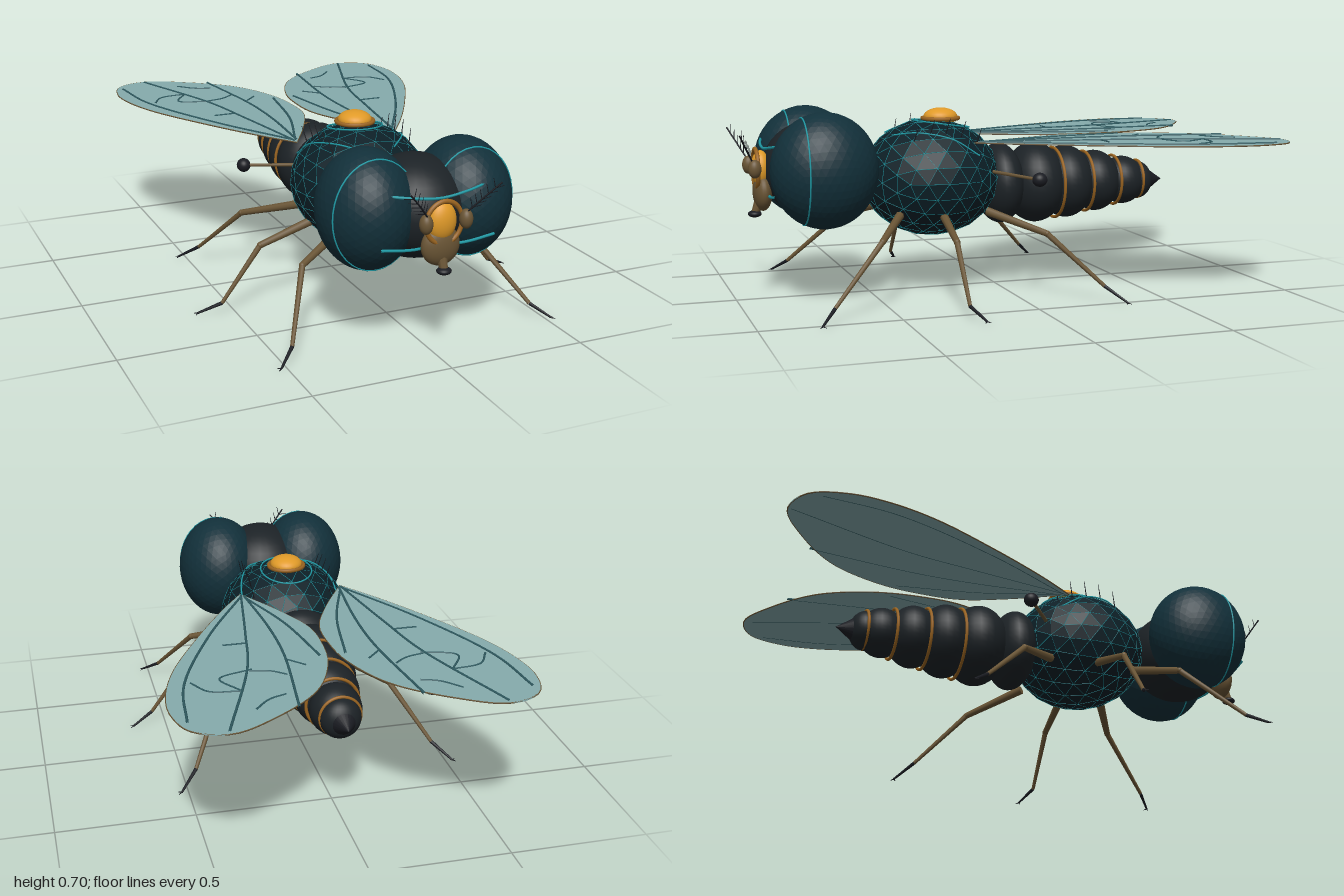
import * as THREE from 'three';

const mat = (color, extra = {}) => new THREE.MeshStandardMaterial({ color, ...extra });
const V = (p) => new THREE.Vector3(...p);

export function createModel() {
  const root = new THREE.Group();
  const M = {
    shell: mat(0x1c2226), eye: mat(0x12303a, { flatShading: true }), thorax: mat(0x0c1f26, { flatShading: true }),
    teal: mat(0x1f9aa5), gold: mat(0xe09a28), brown: mat(0x6a5535), band: mat(0x9a6420),
    dark: mat(0x1a1c22), wing: mat(0x86abad), vein: mat(0x2f5a60),
  };

  const add = (name, geo, material, pos = [0, 0, 0], parent = root) => {
    const m = new THREE.Mesh(geo, material);
    m.name = name;
    m.position.set(...pos);
    parent.add(m);
    return m;
  };
  const ball = (name, pos, r, material, parent = root) =>
    add(name, new THREE.SphereGeometry(1, 28, 20).scale(...r), material, pos, parent);
  const rod = (name, a, b, r0, r1, material, parent = root, sides = 8) => {
    const A = V(a), d = V(b).sub(A);
    const m = add(name, new THREE.CylinderGeometry(r1, r0, d.length(), sides), material, [0, 0, 0], parent);
    m.position.copy(A).addScaledVector(d, 0.5);
    m.quaternion.setFromUnitVectors(new THREE.Vector3(0, 1, 0), d.normalize());
    return m;
  };
  const tube = (name, pts, r, material, parent = root, closed = false) =>
    add(name, new THREE.TubeGeometry(new THREE.CatmullRomCurve3(pts.map(V), closed), 36, r, 6, closed), material, [0, 0, 0], parent);
  // closed loop around an ellipse; f maps angle to a point
  const loop = (name, f, r, material, parent = root) =>
    tube(name, Array.from({ length: 20 }, (_, i) => f(i / 20 * Math.PI * 2)), r, material, parent, true);

  // thorax with a fine triangular net on its surface
  const TC = [0, 0.43, 0.255], TR = [0.252, 0.222, 0.262];
  const thoraxGeo = new THREE.IcosahedronGeometry(1, 3).scale(...TR);
  add('thorax', thoraxGeo, M.thorax, TC);
  const net = new THREE.Group();
  net.name = 'thoraxNet';
  net.position.set(...TC);
  root.add(net);
  const edges = new THREE.EdgesGeometry(thoraxGeo, 0.1).attributes.position;
  for (let i = 0; i < edges.count; i += 2) {
    const [a, b] = [i, i + 1].map((k) => [edges.getX(k), edges.getY(k), edges.getZ(k)]);
    rod('netStrand', a, b, 0.0012, 0.0012, M.teal, net, 3);
  }
  const onThorax = (x, z, lift = 0.004) =>
    [x, TC[1] + TR[1] * Math.sqrt(Math.max(0, 1 - (x / TR[0]) ** 2 - ((z - TC[2]) / TR[2]) ** 2)) + lift, z];

  // gold dome on the back, with rings
  ball('dorsalDome', [0, 0.658, 0.215], [0.062, 0.034, 0.065], M.gold);
  add('domeRing', new THREE.TorusGeometry(0.068, 0.008, 8, 40).rotateX(Math.PI / 2), M.band, [0, 0.652, 0.215]);
  loop('domeLine', (t) => onThorax(0.1 * Math.cos(t), 0.215 + 0.11 * Math.sin(t)), 0.003, M.teal);

  // abdomen: overlapping segments, bands between them, pointed tip
  [[-0.02, 0.395, 0.155, 0.09], [-0.165, 0.392, 0.156, 0.12], [-0.295, 0.39, 0.142, 0.11],
    [-0.42, 0.388, 0.12, 0.1], [-0.54, 0.385, 0.095, 0.09], [-0.605, 0.383, 0.075, 0.06]]
    .forEach(([z, y, r, l]) => ball('abdomenSegment', [0, y, z], [r, r, l], M.shell));
  [[-0.245, 0.137], [-0.375, 0.118], [-0.5, 0.097], [-0.605, 0.074]]
    .forEach(([z, r]) => add('abdomenBand', new THREE.TorusGeometry(r, 0.006, 8, 40), M.band, [0, 0.387, z]));
  add('abdomenTip', new THREE.ConeGeometry(0.068, 0.1, 20).rotateX(-Math.PI / 2), M.dark, [0, 0.382, -0.665]);

  // head and face
  ball('head', [0, 0.48, 0.7], [0.19, 0.18, 0.195], M.shell);
  ball('facePlate', [0, 0.485, 0.9], [0.052, 0.068, 0.035], M.gold);
  add('faceRing', new THREE.TorusGeometry(0.066, 0.008, 8, 40).scale(1, 1.1, 1), M.band, [0, 0.485, 0.918]);
  ball('snout', [0, 0.4, 0.895], [0.07, 0.07, 0.035], M.brown);
  rod('proboscis', [0, 0.37, 0.905], [0, 0.32, 0.925], 0.02, 0.014, M.brown);
  ball('proboscisTip', [0, 0.32, 0.925], [0.026, 0.013, 0.025], M.dark);
  tube('browLine', [[-0.2, 0.585, 0.862], [-0.1, 0.57, 0.885], [0, 0.56, 0.89], [0.1, 0.57, 0.885], [0.2, 0.585, 0.862]], 0.005, M.teal);
  tube('cheekLine', [[-0.21, 0.405, 0.882], [-0.1, 0.393, 0.885], [0, 0.39, 0.87], [0.1, 0.393, 0.885], [0.21, 0.405, 0.882]], 0.005, M.teal);

  // wing outline and veins as x, z pairs
  const outline = [[0.2, 0.145], [0.09, -0.06], [0.02, -0.235], [0.012, -0.39], [0.035, -0.56], [0.127, -0.765], [0.3, -0.92],
    [0.455, -0.997], [0.575, -0.95], [0.62, -0.82], [0.612, -0.68], [0.56, -0.5], [0.43, -0.235], [0.296, 0], [0.2, 0.145]];
  const veins = [
    [[0.2, 0.13], [0.26, -0.25], [0.31, -0.53], [0.46, -0.985]],
    [[0.2, 0.12], [0.39, -0.235], [0.545, -0.63], [0.577, -0.9]],
    [[0.19, 0.12], [0.165, -0.2], [0.165, -0.45], [0.21, -0.87]],
    [[0.19, 0.1], [0.1, -0.18], [0.045, -0.5]],
    [[0.35, -0.855], [0.29, -0.79], [0.23, -0.765]],
    [[0.31, -0.56], [0.24, -0.58], [0.19, -0.62]],
    [[0.52, -0.61], [0.47, -0.69], [0.365, -0.71]],
    [[0.365, -0.71], [0.42, -0.6], [0.3, -0.55]],
    [[0.36, -0.33], [0.275, -0.33]], [[0.165, -0.5], [0.11, -0.56]],
  ];
  const wy = 0.573;

  // leg joints from hip to claw
  const legs = {
    frontLeg: [[0.16, 0.31, 0.42], [0.34, 0.25, 0.53], [0.46, 0.05, 0.73], [0.52, 0.006, 0.785]],
    middleLeg: [[0.18, 0.31, 0.26], [0.4, 0.245, 0.275], [0.55, 0.045, 0.275], [0.63, 0.006, 0.24]],
    hindLeg: [[0.16, 0.31, 0.08], [0.34, 0.245, -0.09], [0.46, 0.06, -0.27], [0.525, 0.006, -0.335]],
  };

  for (const s of [1, -1]) {
    const side = s > 0 ? 'left' : 'right';
    const fl = (p) => [s * p[0], p[1], p[2]];

    // compound eye with a ring line
    add(side + 'Eye', new THREE.IcosahedronGeometry(1, 7).scale(0.168, 0.21, 0.195), M.eye, [s * 0.181, 0.49, 0.7]);
    loop(side + 'EyeLine', (t) => [s * 0.181 + 0.154 * Math.cos(t), 0.49 + 0.192 * Math.sin(t), 0.78], 0.003, M.teal);

    // antenna with feathered bristle
    ball(side + 'AntennaBase', [s * 0.073, 0.493, 0.932], [0.023, 0.034, 0.024], M.brown);
    const stem = [[0.073, 0.52, 0.94], [0.11, 0.565, 0.965], [0.165, 0.625, 0.997]].map(fl);
    tube(side + 'Antenna', stem, 0.003, M.dark);
    const curve = new THREE.CatmullRomCurve3(stem.map(V));
    for (let i = 1; i < 6; i++) {
      const p = curve.getPoint(i / 6).toArray();
      rod('antennaHair', p, [p[0] - s * 0.008, p[1] + 0.035, p[2]], 0.0018, 0.001, M.dark, root, 4);
      rod('antennaHair', p, [p[0] + s * 0.035, p[1] + 0.005, p[2]], 0.0018, 0.001, M.dark, root, 4);
    }

    // curved line and bristles on the thorax
    tube(side + 'BackLine', [[0.19, 0.12], [0.18, 0.22], [0.13, 0.34], [0.06, 0.42]].map(([x, z]) => onThorax(s * x, z)), 0.003, M.teal);
    for (let i = 0; i < 5; i++) {
      const p = onThorax(s * 0.15, 0.12 + i * 0.06, -0.005);
      rod('bristle', p, [p[0] + s * 0.015, p[1] + 0.06, p[2] - 0.015], 0.0025, 0.001, M.dark, root, 4);
    }

    // haltere
    rod(side + 'HaltereStalk', [s * 0.17, 0.46, 0.06], [s * 0.335, 0.445, -0.06], 0.007, 0.006, M.brown);
    ball(side + 'HaltereKnob', [s * 0.337, 0.445, -0.062], [0.026, 0.026, 0.028], M.dark);

    // wing
    const wing = new THREE.Group();
    wing.name = side + 'Wing';
    root.add(wing);
    const shape = new THREE.Shape();
    shape.moveTo(s * outline[0][0], -outline[0][1]);
    shape.splineThru(outline.slice(1).map(([x, z]) => new THREE.Vector2(s * x, -z)));
    add('wingMembrane', new THREE.ExtrudeGeometry(shape, { depth: 0.004, bevelEnabled: false, curveSegments: 60 })
      .rotateX(-Math.PI / 2), M.wing, [0, wy - 0.002, 0], wing);
    const rim = new THREE.CatmullRomCurve3(outline.map(([x, z]) => new THREE.Vector3(s * x, wy, z)));
    add('wingRim', new THREE.TubeGeometry(rim, 90, 0.0025, 5), M.brown, [0, 0, 0], wing);
    veins.forEach((v, i) => tube('wingVein', v.map(([x, z]) => [s * x, wy + 0.002, z]), i < 4 ? 0.005 : 0.004, M.vein, wing));

    // legs
    for (const [name, pts] of Object.entries(legs)) {
      const leg = new THREE.Group();
      leg.name = side + name[0].toUpperCase() + name.slice(1);
      root.add(leg);
      const [hip, knee, ankle, toe] = pts.map(fl);
      rod('thigh', hip, knee, 0.017, 0.012, M.brown, leg);
      ball('knee', knee, [0.012, 0.012, 0.012], M.brown, leg);
      rod('shin', knee, ankle, 0.011, 0.007, M.brown, leg);
      rod('foot', ankle, toe, 0.007, 0.004, M.dark, leg);
      for (const k of [-1, 1]) rod('claw', toe, [toe[0] + s * 0.012, 0.003, toe[2] + k * 0.01], 0.003, 0.001, M.dark, leg, 5);
    }
  }
  return root;
}
